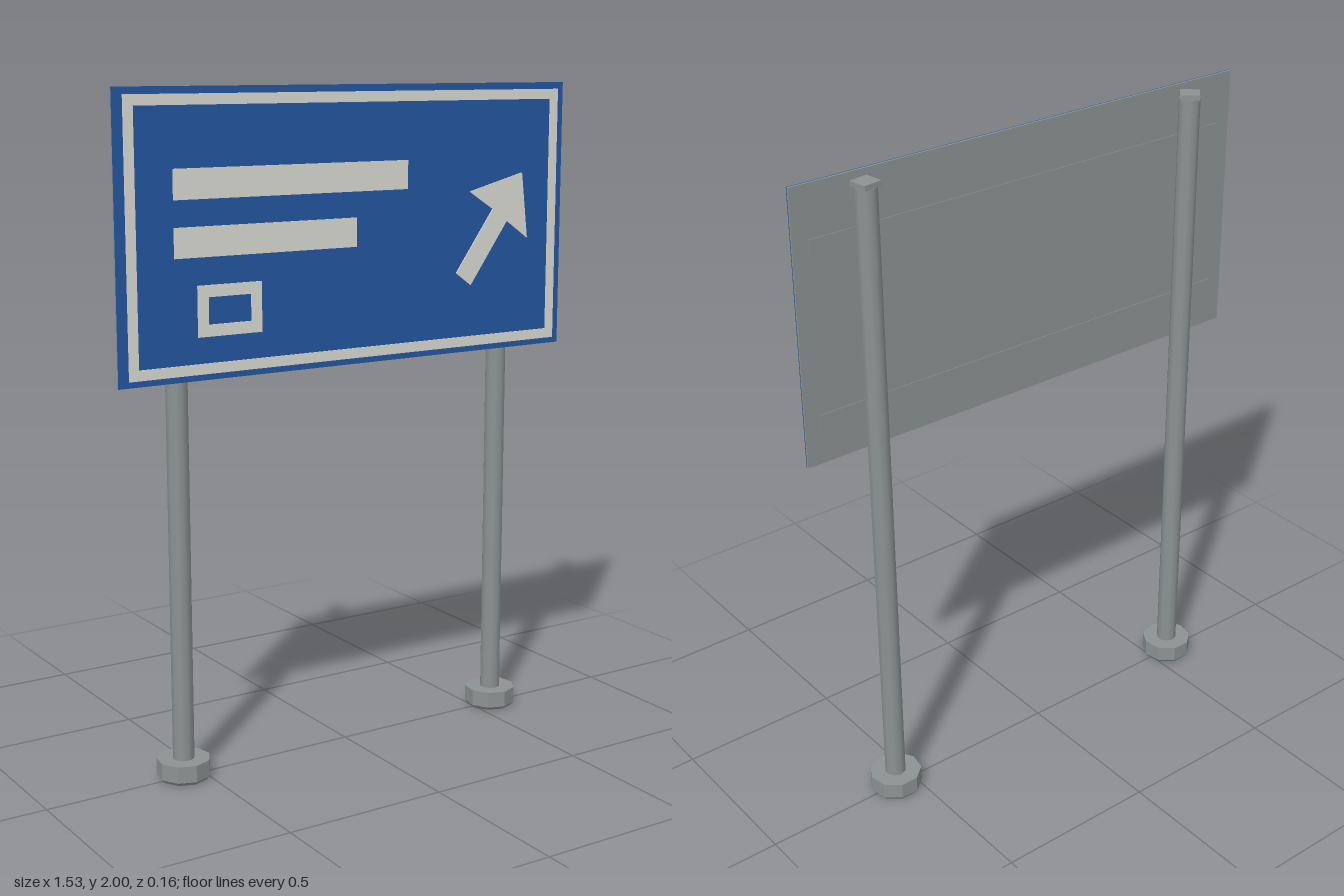
import * as THREE from 'three';

const steel = new THREE.MeshStandardMaterial({ color: 0x8b9392 });
const blue = new THREE.MeshStandardMaterial({ color: 0x2456a0 });
const white = new THREE.MeshStandardMaterial({ color: 0xdcdcd4 });
steel.name = 'galvanised steel';
blue.name = 'sign blue';
white.name = 'sign white';

const steelFlat = steel.clone();
steelFlat.name = 'galvanised steel faceted';
steelFlat.flatShading = true;

const rect = (C, x0, x1, y0, y1) => new C([
  new THREE.Vector2(x0, y0), new THREE.Vector2(x1, y0),
  new THREE.Vector2(x1, y1), new THREE.Vector2(x0, y1),
]);

// rectangular outline with an open middle
function frame(x0, x1, y0, y1, t) {
  const s = rect(THREE.Shape, x0, x1, y0, y1);
  s.holes.push(rect(THREE.Path, x0 + t, x1 - t, y0 + t, y1 - t));
  return s;
}

export function createModel() {
  const model = new THREE.Group();
  model.name = 'roadSign';

  const add = (parent, name, geo, mat, x = 0, y = 0, z = 0) => {
    const m = new THREE.Mesh(geo, mat);
    m.name = name;
    m.position.set(x, y, z);
    parent.add(m);
    return m;
  };

  // posts with round feet and square caps
  for (const side of [-1, 1]) {
    const post = new THREE.Group();
    post.name = side < 0 ? 'rightPost' : 'leftPost';
    post.position.x = side * 0.564;
    add(post, 'pole', new THREE.CylinderGeometry(0.032, 0.032, 1.92, 10), steel, 0, 1.01);
    add(post, 'foot', new THREE.CylinderGeometry(0.08, 0.08, 0.05, 9), steelFlat, 0, 0.035);
    add(post, 'footBevel', new THREE.CylinderGeometry(0.08, 0.072, 0.01, 9), steelFlat, 0, 0.005);
    const cap = add(post, 'cap', new THREE.CylinderGeometry(0.041, 0.041, 0.015, 4), steelFlat, 0, 1.9775);
    cap.rotation.y = side < 0 ? 0.05 : Math.PI / 4 + 0.14;
    model.add(post);
  }

  // panel: steel backing with a blue face
  const panel = new THREE.Group();
  panel.name = 'signPanel';
  model.add(panel);
  add(panel, 'backing', new THREE.BoxGeometry(1.535, 0.812, 0.006), steel, 0, 1.594, 0.047);
  add(panel, 'face', new THREE.BoxGeometry(1.535, 0.812, 0.003), blue, 0, 1.594, 0.0515);

  // shallow rails across the back
  for (const y of [1.825, 1.315])
    add(panel, 'rail', new THREE.BoxGeometry(1.44, 0.045, 0.003), steel, 0, y, 0.0435);

  // painted details, raised just off the face
  const arrow = new THREE.Shape([
    [0.606, 1.729], [0.407, 1.678], [0.495, 1.622], [0.36, 1.434],
    [0.415, 1.394], [0.55, 1.583], [0.63, 1.527],
  ].map(([x, y]) => new THREE.Vector2(x, y)));
  const details = {
    border: frame(-0.74, 0.74, 1.207, 1.98, 0.03),
    upperBar: rect(THREE.Shape, -0.595, 0.18, 1.695, 1.78),
    lowerBar: rect(THREE.Shape, -0.595, 0, 1.535, 1.62),
    box: frame(-0.525, -0.32, 1.312, 1.457, 0.034),
    arrow,
  };
  for (const [name, shape] of Object.entries(details)) {
    const geo = new THREE.ExtrudeGeometry(shape, { depth: 0.003, bevelEnabled: false });
    add(panel, name, geo, white, 0, 0, 0.061);
  }

  return model;
}
